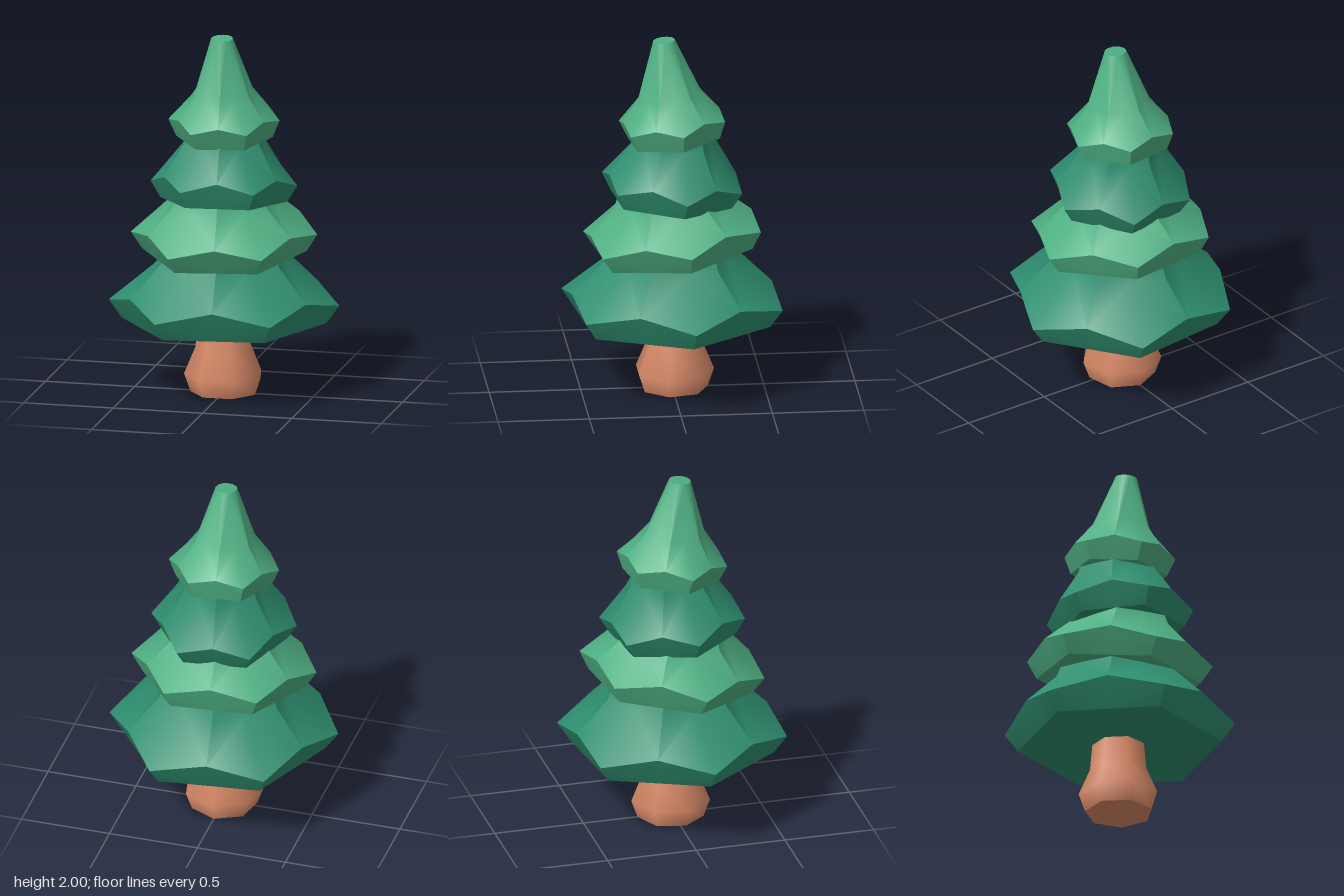
import * as THREE from 'three';
import { toCreasedNormals } from 'three/addons/utils/BufferGeometryUtils.js';

const SIDES = 12; // six corners alternating with six edge middles
const TURN = THREE.MathUtils.degToRad(-6.8);

// Closed shell through rings [y, cornerRadius, middleRadius, middleLift]
function tierGeometry(rings) {
  const pos = [], index = [];
  for (const [y, corner, middle, lift = 0] of rings) {
    for (let i = 0; i < SIDES; i++) {
      const a = TURN + (i / SIDES) * Math.PI * 2;
      const r = i % 2 ? middle : corner;
      pos.push(r * Math.cos(a), y + (i % 2 ? lift : 0), r * Math.sin(a));
    }
  }
  const bottom = pos.length / 3, top = bottom + 1;
  pos.push(0, rings[0][0], 0, 0, rings[rings.length - 1][0], 0);
  const last = (rings.length - 1) * SIDES;
  for (let i = 0; i < SIDES; i++) {
    const j = (i + 1) % SIDES;
    for (let k = 0; k < last; k += SIDES) {
      const a = k + i, b = k + j, c = a + SIDES, d = b + SIDES;
      // split each quad from the edge middle so both halves mirror
      if (i % 2) index.push(a, c, d, a, d, b);
      else index.push(a, c, b, b, c, d);
    }
    index.push(bottom, i, j, top, last + j, last + i);
  }
  const g = new THREE.BufferGeometry();
  g.setAttribute('position', new THREE.Float32BufferAttribute(pos, 3));
  g.setIndex(index);
  return toCreasedNormals(g, 0.62);
}

export function createModel() {
  const tree = new THREE.Group();
  tree.name = 'pineTree';
  const material = (name, color) => {
    const m = new THREE.MeshStandardMaterial({ color });
    m.name = name;
    return m;
  };
  const bark = material('bark', 0xd98a68);
  const darkGreen = material('darkGreen', 0x2f8f70);
  const lightGreen = material('lightGreen', 0x4fb083);

  // Trunk with a swollen foot
  const trunk = new THREE.Group();
  trunk.name = 'trunk';
  trunk.position.z = -0.01;
  const profile = [[0.185, 0], [0.22, 0.1], [0.158, 0.25], [0.14, 0.45]]
    .map(([r, y]) => new THREE.Vector2(r, y));
  const stem = new THREE.Mesh(new THREE.LatheGeometry(profile, 7, Math.PI), bark);
  stem.name = 'trunkStem';
  const base = new THREE.Mesh(new THREE.CircleGeometry(0.185, 7, -Math.PI / 2), bark);
  base.name = 'trunkBase';
  base.rotation.x = Math.PI / 2;
  trunk.add(stem, base);
  tree.add(trunk);

  // Foliage tiers: rim height, rim radius, underside drop and radius,
  // lift of edge middles, shoulder [y, r], end [y, r], forward tilt in degrees
  const tiers = [
    { name: 'bottomTier', y: 0.5, r: 0.632, drop: 0.1, under: 0.56, lift: 0.07,
      shoulder: [0.25, 0.375], end: [0.4, 0.315], tilt: 0, mat: darkGreen },
    { name: 'lowerMiddleTier', y: 0.89, r: 0.511, drop: 0.095, under: 0.452, lift: 0.055,
      shoulder: [0.19, 0.305], end: [0.27, 0.27], tilt: 6, mat: lightGreen },
    { name: 'upperMiddleTier', y: 1.17, r: 0.402, drop: 0.09, under: 0.348, lift: 0.055,
      shoulder: [0.24, 0.235], end: [0.33, 0.21], tilt: -3.5, mat: darkGreen },
    { name: 'topTier', y: 1.525, r: 0.305, drop: 0.095, under: 0.265, lift: 0.035,
      shoulder: [0.165, 0.172], end: [0.469, 0.06], tilt: 5.5, mat: lightGreen },
  ];
  for (const t of tiers) {
    const [sy, sr] = t.shoulder, [ey, er] = t.end;
    const isTip = t.name === 'topTier';
    const mesh = new THREE.Mesh(tierGeometry([
      [-t.drop, t.under, t.under * 0.866],
      [0, t.r, t.r * 0.88, t.lift],
      [sy, sr * 0.89, sr],
      [ey, isTip ? er : er * 0.89, er],
    ]), t.mat);
    mesh.name = t.name;
    mesh.position.y = t.y;
    mesh.rotation.x = THREE.MathUtils.degToRad(t.tilt);
    tree.add(mesh);
  }
  return tree;
}
